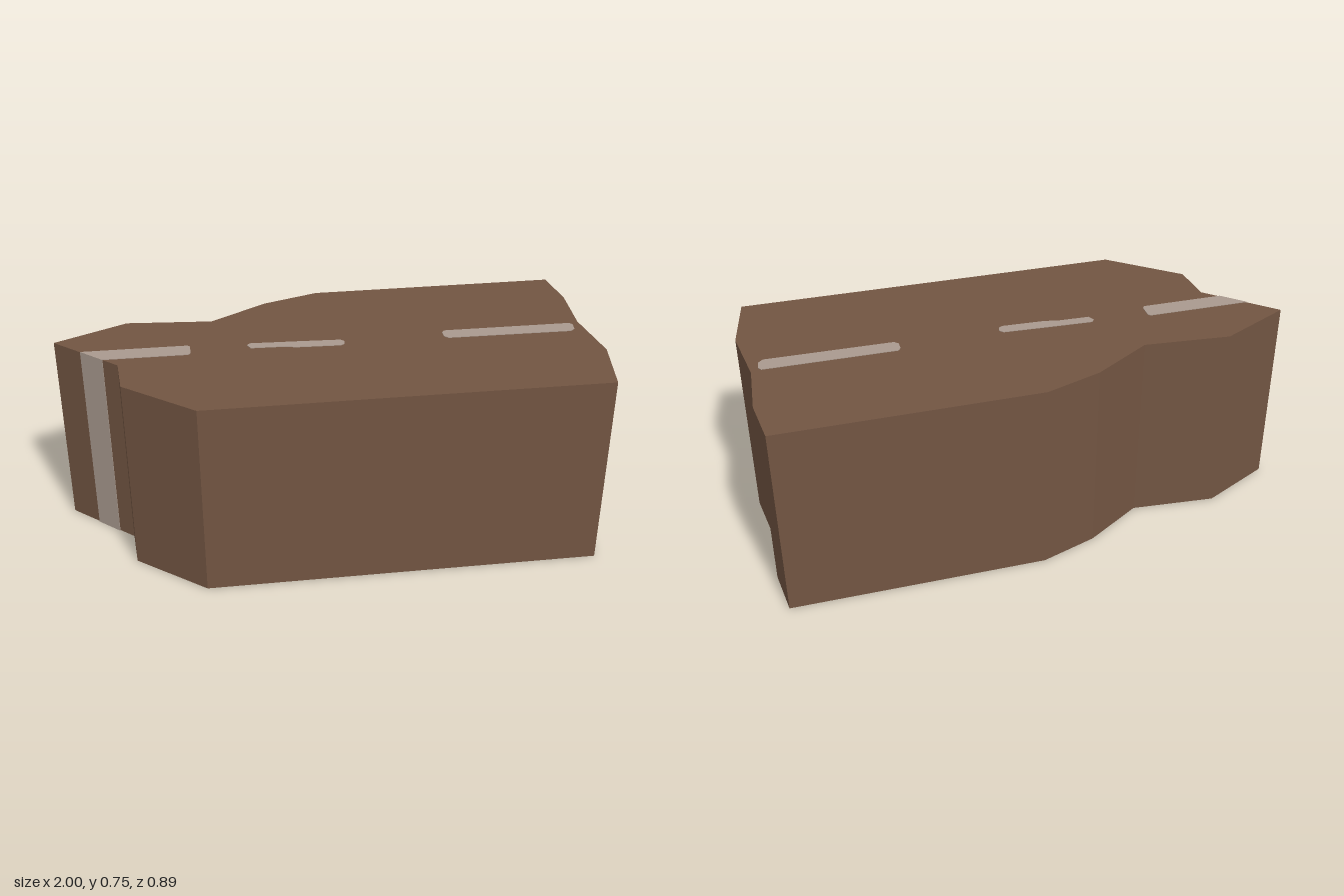
import * as THREE from 'three';

const HEIGHT = 0.745;
const SKIN = 0.002; // thickness of the painted stripes

// Upright prism from a plan outline given as [x, z] points
function prism(points, bottom, height) {
  const shape = new THREE.Shape(points.map(([x, z]) => new THREE.Vector2(x, -z)));
  const geometry = new THREE.ExtrudeGeometry(shape, { depth: height, bevelEnabled: false });
  geometry.rotateX(-Math.PI / 2);
  geometry.translate(0, bottom, 0);
  return geometry;
}

export function createModel() {
  const model = new THREE.Group();
  model.name = 'block';
  const brown = new THREE.MeshStandardMaterial({ name: 'brown', color: 0x725542 });
  const pale = new THREE.MeshStandardMaterial({ name: 'pale stripe', color: 0xaa9a8f });

  const add = (name, geometry, material) => {
    const mesh = new THREE.Mesh(geometry, material);
    mesh.name = name;
    model.add(mesh);
  };

  // Main body: irregular plan with straight walls
  add('body', prism([
    [-1, -0.13], [-0.735, -0.262], [-0.415, -0.236], [-0.2, -0.37], [0.01, -0.442],
    [0.957, -0.449], [0.98, -0.27], [0.966, -0.05], [1, 0.19], [0.957, 0.438],
    [0.2, 0.44], [-0.5, 0.443], [-0.753, 0.24], [-0.765, 0.08],
  ], 0, HEIGHT), brown);

  // Stripes painted on both the top and the underside
  const stripes = {
    leftEndStripe: [[-0.9, -0.04], [-0.512, -0.04], [-0.504, -0.03], [-0.504, 0.02],
      [-0.512, 0.032], [-0.819, 0.032]],
    middleStripe: [[-0.297, -0.015], [-0.285, -0.028], [-0.1, -0.021], [0.05, -0.014],
      [0.063, 0], [0.06, 0.02], [0.045, 0.03], [-0.12, 0.024], [-0.16, 0.014], [-0.285, 0.01]],
    rightEndStripe: [[0.435, -0.025], [0.445, -0.039], [0.93, -0.039], [0.94, -0.025],
      [0.935, 0.01], [0.918, 0.026], [0.45, 0.022], [0.435, 0.008]],
  };
  for (const [name, outline] of Object.entries(stripes)) {
    add(name + 'Top', prism(outline, HEIGHT, SKIN), pale);
    add(name + 'Bottom', prism(outline, -SKIN, SKIN), pale);
  }

  // The end stripe carries on down the slanted wall
  const out = SKIN * 0.7;
  add('wallStripe', prism([
    [-0.9, -0.041], [-0.819, 0.032], [-0.819 - out, 0.032 + out], [-0.9 - out, -0.041 + out],
  ], -SKIN, HEIGHT + 2 * SKIN), pale);

  return model;
}
